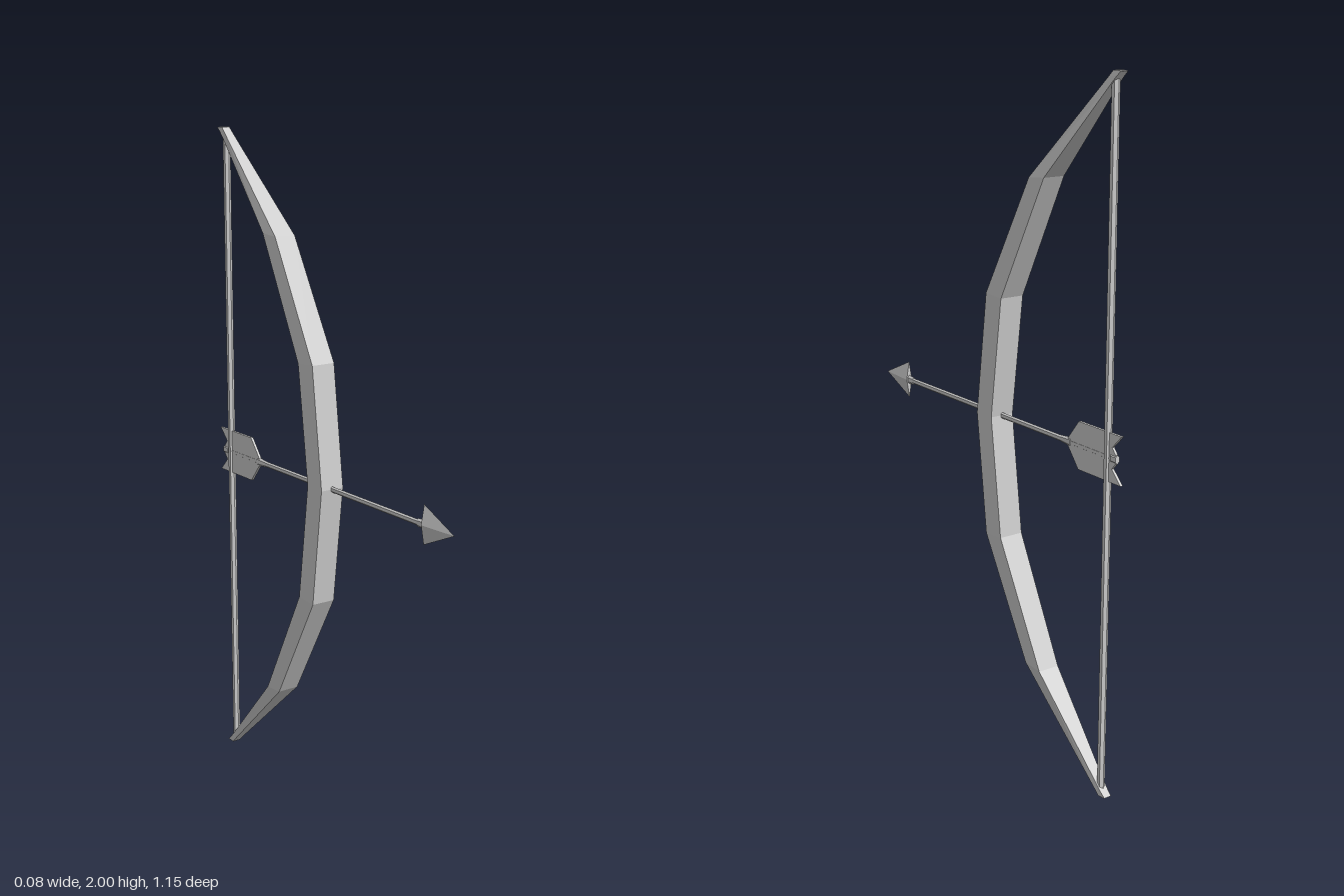
import * as THREE from 'three';

const material = new THREE.MeshStandardMaterial({ color: 0xcccccc, flatShading: true, side: THREE.DoubleSide });

function part(name, geometry, parent) {
  const mesh = new THREE.Mesh(geometry, material);
  mesh.name = name;
  parent.add(mesh);
  return mesh;
}

// Joins rectangular cross-sections [frontY, frontZ, backY, backZ, halfWidth] into a closed limb
function loftGeometry(sections) {
  const positions = [], index = [];
  for (const [fy, fz, by, bz, w] of sections) {
    positions.push(-w, fy, fz, w, fy, fz, w, by, bz, -w, by, bz);
  }
  for (let i = 0; i < sections.length - 1; i++) {
    for (let k = 0; k < 4; k++) {
      const a = i * 4 + k, b = i * 4 + (k + 1) % 4;
      index.push(a, b, b + 4, a, b + 4, a + 4);
    }
  }
  const e = (sections.length - 1) * 4;
  index.push(0, 2, 1, 0, 3, 2, e, e + 1, e + 2, e, e + 2, e + 3);
  const geometry = new THREE.BufferGeometry();
  geometry.setAttribute('position', new THREE.Float32BufferAttribute(positions, 3));
  geometry.setIndex(index);
  const flat = geometry.toNonIndexed();
  flat.computeVertexNormals();
  return flat;
}

// Rod along z, squashed sideways
function rodGeometry(rFront, rBack, zFront, zBack, sides, squash) {
  return new THREE.CylinderGeometry(rFront, rBack, zFront - zBack, sides)
    .rotateX(Math.PI / 2)
    .scale(squash, 1, 1)
    .translate(0, 1, (zFront + zBack) / 2);
}

export function createModel() {
  const model = new THREE.Group();
  model.name = 'bowAndArrow';

  // Bow: upper half from grip to tip, mirrored for the lower half
  const upper = [
    [1, 0.03, 1, -0.04, 0.038],
    [1.36, -0.015, 1.355, -0.086, 0.038],
    [1.705, -0.205, 1.71, -0.27, 0.034],
    [1.985, -0.503, 1.965, -0.51, 0.014],
    [2, -0.518, 1.985, -0.53, 0.013],
    [2, -0.535, 1.998, -0.545, 0.012],
  ];
  const lower = upper.slice(1).reverse().map(([fy, fz, by, bz, w]) => [2 - fy, fz, 2 - by, bz, w]);
  part('bowLimbs', loftGeometry([...lower, ...upper]), model);

  // String between the two tips
  const string = part('bowString', new THREE.CylinderGeometry(0.011, 0.011, 1.97, 6), model);
  string.position.set(0, 1, -0.514);

  // Arrow: shaft, nock, head and flat feathers
  const arrow = new THREE.Group();
  arrow.name = 'arrow';
  model.add(arrow);
  part('arrowShaft', rodGeometry(0.009, 0.009, 0.455, -0.54, 6, 0.55), arrow);
  part('arrowNock', rodGeometry(0.009, 0.014, -0.31, -0.36, 6, 0.5), arrow);
  part('arrowTail', rodGeometry(0.013, 0.013, -0.53, -0.553, 6, 0.6), arrow);
  part('arrowHead', rodGeometry(0, 0.057, 0.577, 0.45, 4, 0.17), arrow);
  part('headCollar', rodGeometry(0.014, 0.012, 0.455, 0.425, 6, 0.5), arrow);

  // Feather outline drawn with x as distance back from the middle
  const outline = [[0.35, 0.012], [0.395, 0.068], [0.572, 0.068], [0.535, 0.03], [0.55, 0.012]];
  const points = [...outline, ...outline.slice().reverse().map(([x, y]) => [x, -y])];
  const shape = new THREE.Shape(points.map(([x, y]) => new THREE.Vector2(x, y)));
  const feathers = new THREE.ExtrudeGeometry(shape, { depth: 0.008, bevelEnabled: false })
    .translate(0, 0, -0.004)
    .rotateY(Math.PI / 2)
    .translate(0, 1, 0);
  part('arrowFeathers', feathers, arrow);

  return model;
}
